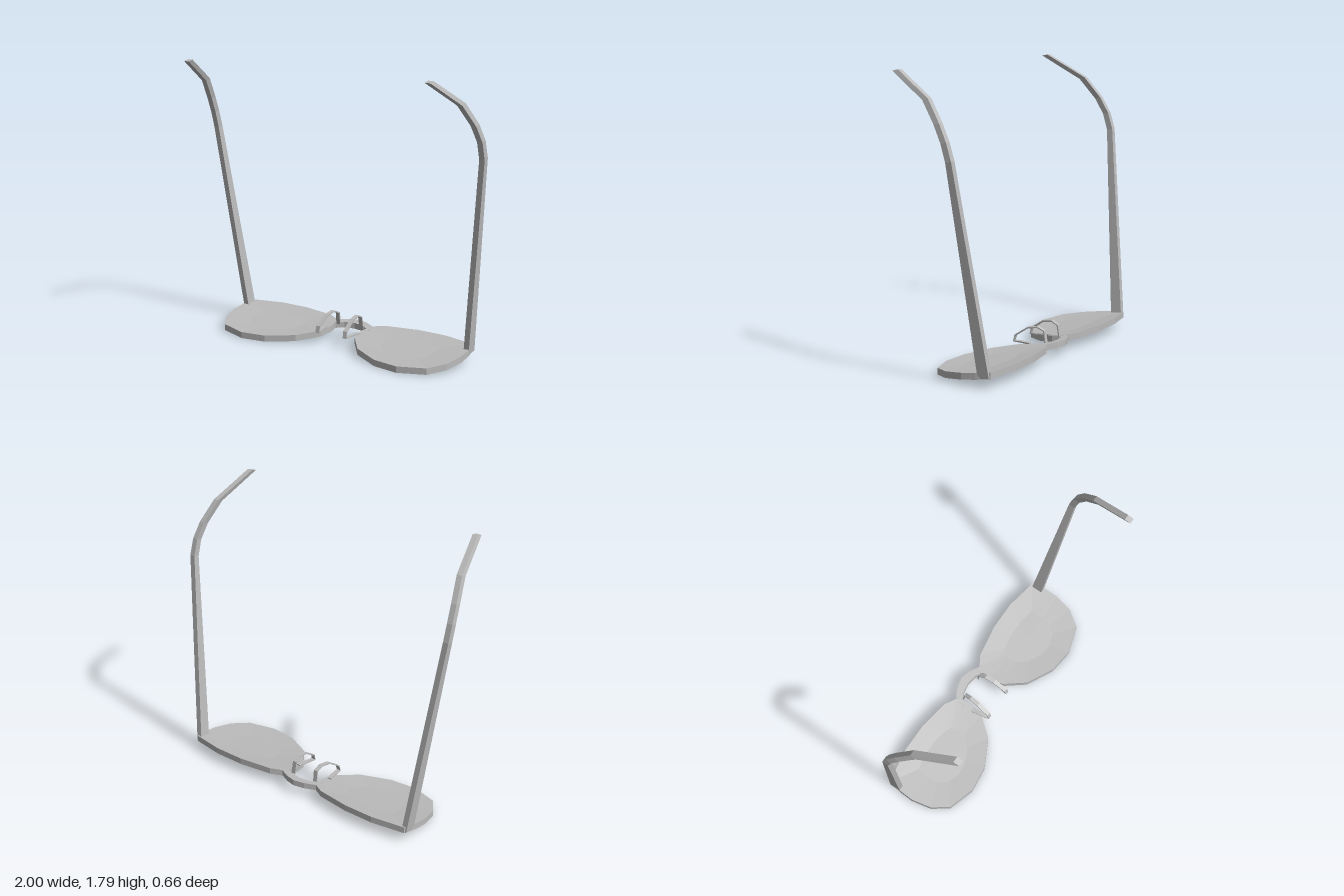
import * as THREE from 'three';

const frameGrey = new THREE.MeshStandardMaterial({ color: 0xbbbbbb });
frameGrey.name = 'frameGrey';

// Closed faceted solid through rings of [x, y, z] points; side -1 mirrors in x.
function loft(name, rings, side = 1) {
  const centre = (ring) => {
    const c = [0, 1, 2].map((k) => ring.reduce((s, p) => s + p[k], 0) / ring.length);
    return ring.map(() => c);
  };
  const all = [centre(rings[0]), ...rings, centre(rings[rings.length - 1])]
    .map((r) => r.map(([x, y, z]) => new THREE.Vector3(x * side, y, z)));
  const tris = [];
  const add = (a, b, c) => {
    const area = b.clone().sub(a).cross(c.clone().sub(a)).length();
    if (area > 1e-9) tris.push([a, b, c]);
  };
  for (let i = 0; i < all.length - 1; i++) {
    const n = all[i].length;
    for (let j = 0; j < n; j++) {
      const k = (j + 1) % n;
      add(all[i][j], all[i][k], all[i + 1][k]);
      add(all[i][j], all[i + 1][k], all[i + 1][j]);
    }
  }
  // Turn the faces outwards
  let volume = 0;
  for (const [a, b, c] of tris) volume += a.dot(b.clone().cross(c));
  const points = tris.flatMap(([a, b, c]) => (volume < 0 ? [a, c, b] : [a, b, c]));
  const geometry = new THREE.BufferGeometry().setFromPoints(points);
  geometry.computeVertexNormals();
  const mesh = new THREE.Mesh(geometry, frameGrey);
  mesh.name = name;
  return mesh;
}

// The front lies on a gently tilted plane
const planeY = (z) => 0.025 + (0.18 - z) * 0.127;
const HALF = 0.02;

const lensOutline = [
  [0.14, -0.26], [0.21, -0.30], [0.43, -0.335], [0.63, -0.335], [0.85, -0.295],
  [0.865, -0.20], [0.868, -0.11], [0.84, 0.016], [0.765, 0.12], [0.585, 0.175],
  [0.415, 0.155], [0.235, 0.064], [0.13, -0.064], [0.11, -0.16], [0.12, -0.225],
];

// Lens with its rim wall: slightly dished above and bulging below
function lens(name, side) {
  const ring = (scale, offset) => lensOutline.map(([x, z]) => {
    const px = 0.5 + (x - 0.5) * scale;
    const pz = -0.09 + (z + 0.09) * scale;
    return [px, planeY(pz) + offset, pz];
  });
  return loft(name, [
    ring(0.5, HALF - 0.011), ring(1, HALF), ring(1, -HALF), ring(0.5, -HALF - 0.015),
  ], side);
}

// Arched bridge: x, back edge z, front edge z
function bridge() {
  const arch = [
    [-0.15, -0.262, -0.19], [-0.14, -0.258, -0.20], [-0.07, -0.295, -0.245], [0, -0.313, -0.257],
    [0.07, -0.295, -0.245], [0.14, -0.258, -0.20], [0.15, -0.262, -0.19],
  ];
  const h = HALF - 0.001;
  return loft('bridge', arch.map(([x, back, front]) => [
    [x, planeY(back) + h, back], [x, planeY(front) + h, front],
    [x, planeY(front) - h, front], [x, planeY(back) - h, back],
  ]));
}

// Temple arm: centre x, y, centre z, half depth in z, slope of the cut
const armStations = [
  [0.842, 0.065, -0.252, 0.037, 0.004],
  [0.982, 1.305, -0.119, 0.019, 0.005],
  [0.982, 1.41, -0.088, 0.018, 0.005],
  [0.968, 1.51, -0.035, 0.018, 0.005],
  [0.931, 1.64, 0.063, 0.018, 0.006],
  [0.863, 1.79, 0.31, 0.019, 0.004],
];
function arm(name, side) {
  const w = 0.018;
  return loft(name, armStations.map(([x, y, z, d, s]) => [
    [x - w, y + s, z - d], [x + w, y + s, z - d],
    [x + w, y - s, z + d], [x - w, y - s, z + d],
  ]), side);
}

// Nose pad: a thin ribbon bent into a loop
const padPath = [
  [0.078, 0.085, -0.222], [0.075, 0.165, -0.21], [0.08, 0.186, -0.165], [0.085, 0.176, -0.10],
  [0.091, 0.12, -0.015], [0.094, 0.082, -0.005], [0.104, 0.085, -0.06], [0.116, 0.086, -0.13],
];
function nosePad(name, side) {
  const w = 0.014;
  const t = 0.004;
  const rings = padPath.map(([x, y, z], i) => {
    const a = padPath[Math.max(i - 1, 0)];
    const b = padPath[Math.min(i + 1, padPath.length - 1)];
    const len = Math.hypot(b[1] - a[1], b[2] - a[2]);
    const ny = (-(b[2] - a[2]) / len) * t;
    const nz = ((b[1] - a[1]) / len) * t;
    return [
      [x - w, y + ny, z + nz], [x + w, y + ny, z + nz],
      [x + w, y - ny, z - nz], [x - w, y - ny, z - nz],
    ];
  });
  const pad = loft(name, rings, side);
  if (side < 0) pad.position.x = -0.022;
  return pad;
}

export function createModel() {
  const model = new THREE.Group();
  model.name = 'eyeglasses';
  model.add(bridge());
  for (const [label, side] of [['left', 1], ['right', -1]]) {
    model.add(lens(label + 'Lens', side), arm(label + 'Arm', side), nosePad(label + 'NosePad', side));
  }
  return model;
}
